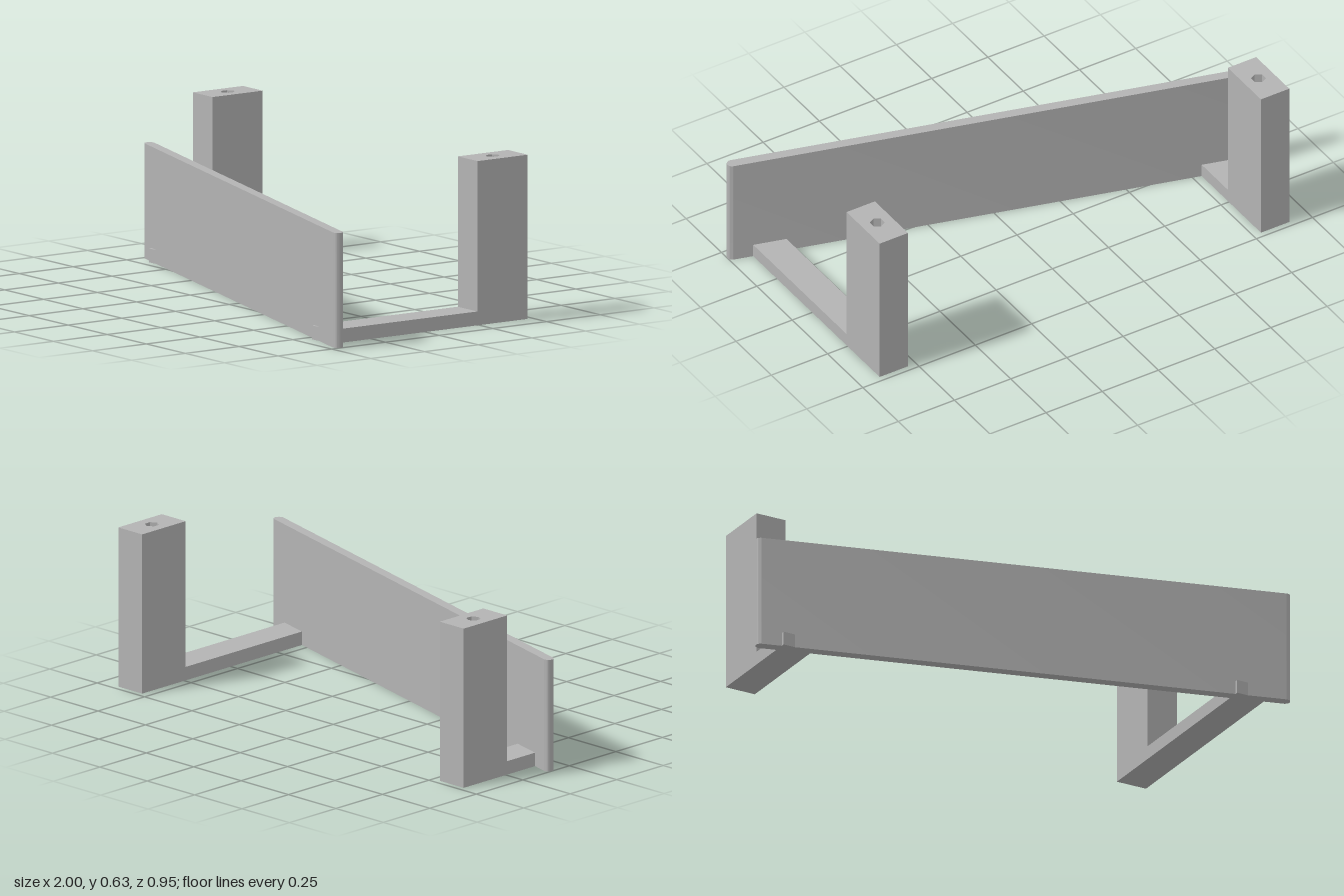
import * as THREE from 'three';
import { toCreasedNormals } from 'three/addons/utils/BufferGeometryUtils.js';

export function createModel() {
  const model = new THREE.Group();
  model.name = 'bracketedPanel';
  const grey = new THREE.MeshStandardMaterial({ color: 0xb3b3b3 });
  grey.name = 'plain grey';

  const add = (parent, name, geometry, x, y, z) => {
    const mesh = new THREE.Mesh(geometry, grey);
    mesh.name = name;
    mesh.position.set(x, y, z);
    parent.add(mesh);
    return mesh;
  };

  // Extrude a plan outline upwards
  const extrudeUp = (shape, height, curveSegments) =>
    new THREE.ExtrudeGeometry(shape, { depth: height, bevelEnabled: false, curveSegments })
      .rotateX(-Math.PI / 2);

  // Slanted upright panel with rounded ends
  const r = 0.02;
  const start = new THREE.Vector2(-0.98, -0.092);
  const end = new THREE.Vector2(0.98, 0.457);
  const half = start.distanceTo(end) / 2;
  const outline = new THREE.Shape();
  outline.moveTo(-half, -r);
  outline.lineTo(half, -r);
  outline.absarc(half, 0, r, -Math.PI / 2, Math.PI / 2, false);
  outline.lineTo(-half, r);
  outline.absarc(-half, 0, r, Math.PI / 2, Math.PI * 1.5, false);
  const panel = add(model, 'panel', toCreasedNormals(extrudeUp(outline, 0.44, 12), 0.6),
    0, 0, (start.y + end.y) / 2);
  panel.rotation.y = -Math.atan2(end.y - start.y, end.x - start.x);

  // L-shaped brackets: a flat arm through the panel and a post with a blind hole
  const width = 0.126, back = -0.477, postFront = -0.243;
  const postDepth = postFront - back, postHeight = 0.628, holeDepth = 0.25;
  const postZ = (back + postFront) / 2;

  const addBracket = (name, x, armEnd) => {
    const bracket = new THREE.Group();
    bracket.name = name;
    bracket.position.x = x;
    model.add(bracket);

    const armLength = armEnd - postFront;
    add(bracket, 'arm', new THREE.BoxGeometry(width, 0.053, armLength),
      0, 0.0265, postFront + armLength / 2);

    const solid = postHeight - holeDepth;
    add(bracket, 'postBase', new THREE.BoxGeometry(width, solid, postDepth), 0, solid / 2, postZ);

    const w = width / 2, d = postDepth / 2;
    const section = new THREE.Shape([[-w, -d], [w, -d], [w, d], [-w, d]]
      .map(([px, py]) => new THREE.Vector2(px, py)));
    const hole = [];
    for (let i = 0; i < 6; i++) {
      const a = Math.PI / 2 - i * Math.PI / 3;
      hole.push(new THREE.Vector2(Math.cos(a) * 0.028, Math.sin(a) * 0.028));
    }
    section.holes.push(new THREE.Path(hole));
    add(bracket, 'postTop', extrudeUp(section, holeDepth, 1), 0, solid, postZ);
  };
  addBracket('rightBracket', -0.848, -0.038);
  addBracket('leftBracket', 0.848, 0.436);

  return model;
}
